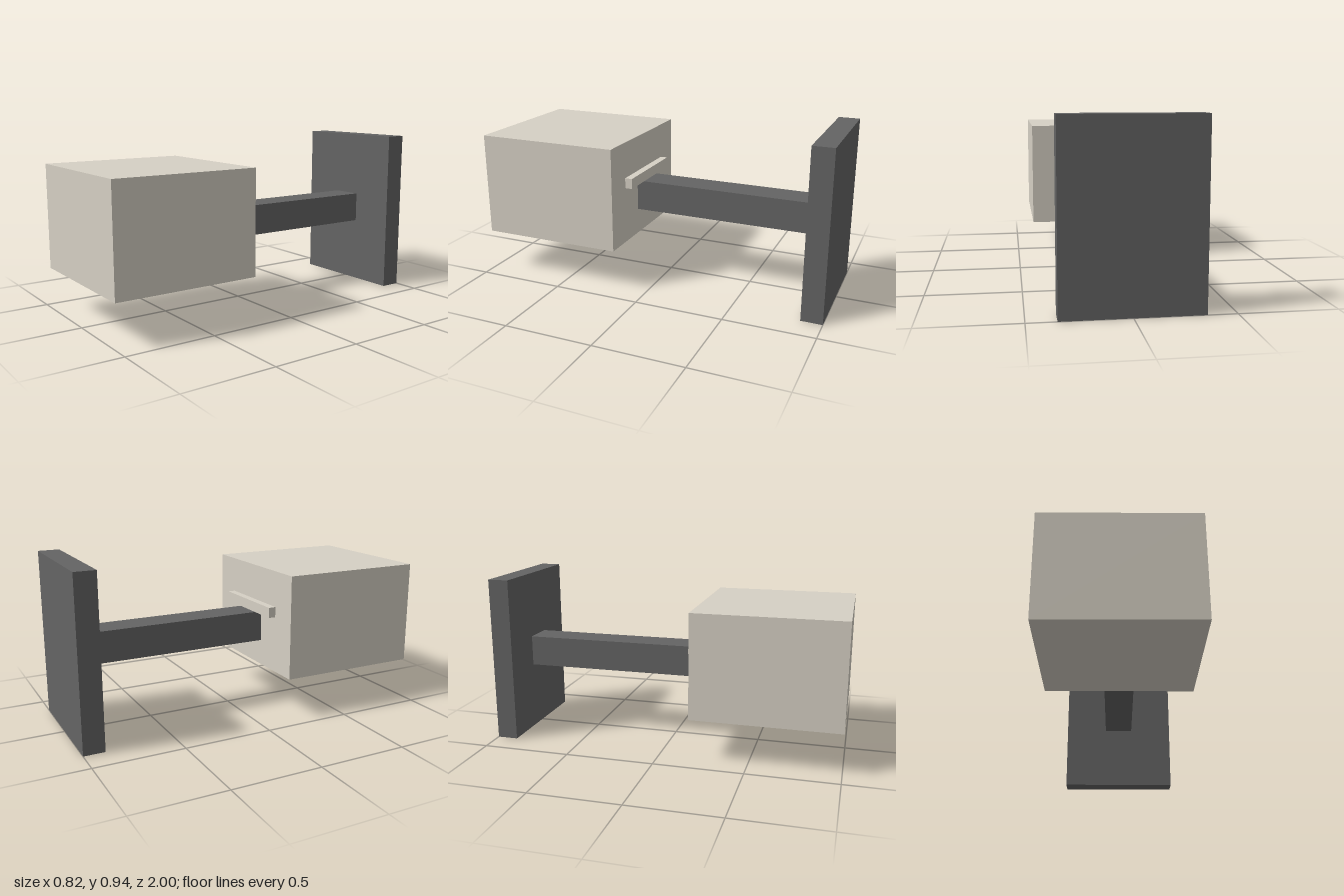
import * as THREE from 'three';

const pale = new THREE.MeshStandardMaterial({ color: 0xd6d0c4 });
const dark = new THREE.MeshStandardMaterial({ color: 0x646464 });

// Box centred on x, spanning the given y and z ranges
function block(name, material, width, [y0, y1], [z0, z1]) {
  const mesh = new THREE.Mesh(new THREE.BoxGeometry(width, y1 - y0, z1 - z0), material);
  mesh.position.set(0, (y0 + y1) / 2, (z0 + z1) / 2);
  mesh.name = name;
  return mesh;
}

export function createModel() {
  const model = new THREE.Group();
  model.name = 'wallMountedBox';
  model.add(
    // Upright plate at the back
    block('mountingPlate', dark, 0.704, [0, 0.942], [-1, -0.882]),
    // Square arm joining the plate to the box
    block('supportArm', dark, 0.176, [0.385, 0.561], [-0.882, 0.177]),
    // Housing at the front
    block('housing', pale, 0.824, [0.237, 0.825], [0.177, 1]),
    // Thin ledge on the back of the housing, resting on the arm
    block('rearLedge', pale, 0.494, [0.561, 0.62], [0.135, 0.177]),
  );
  return model;
}
